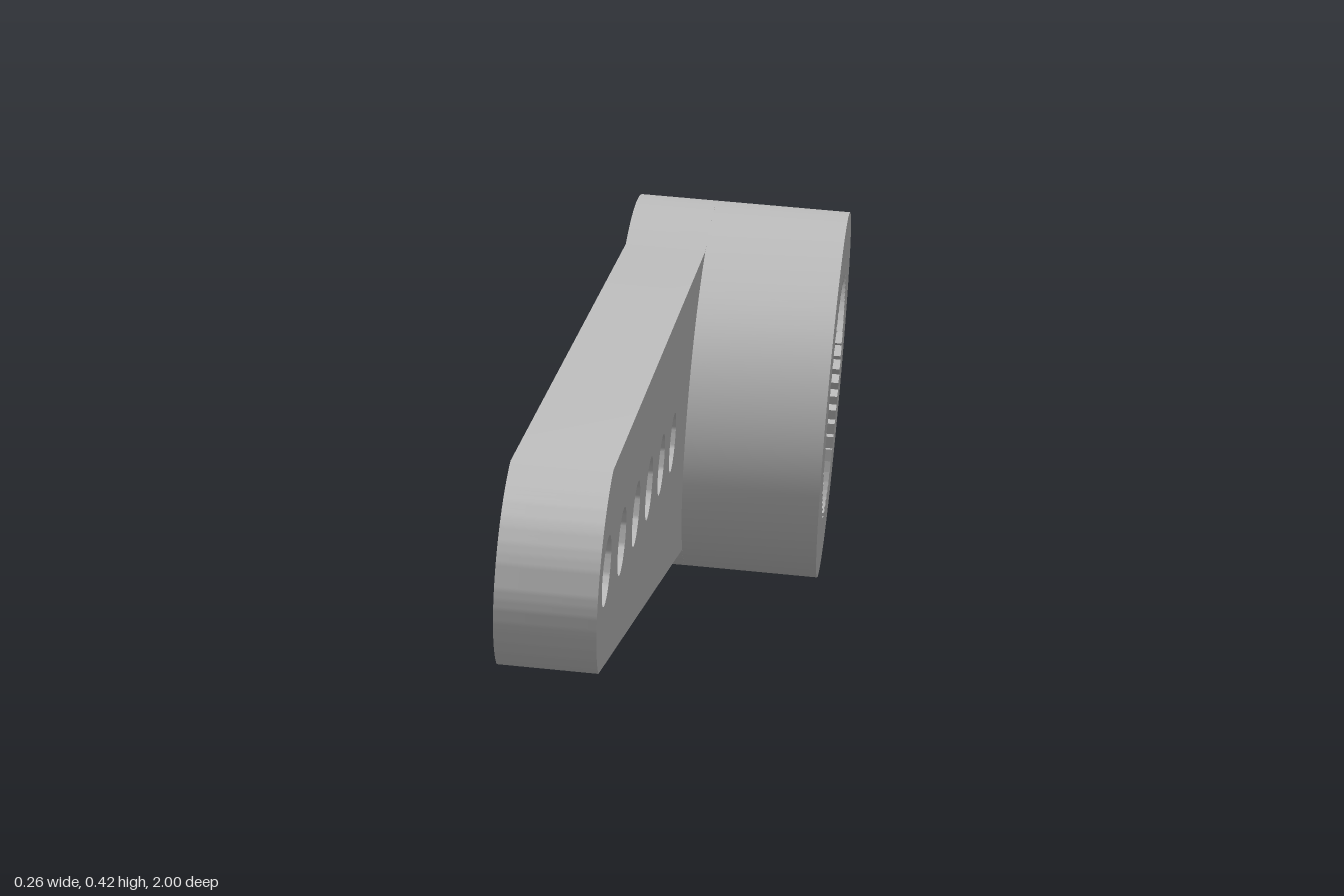
import * as THREE from 'three';
import { toCreasedNormals } from 'three/addons/utils/BufferGeometryUtils.js';

const HUB_R = 0.2025, BACK = -0.1155, FRONT = 0.1155, ARM_FRONT = -0.03;

function circlePath(x, r) {
  return new THREE.Path().absarc(x, 0, r, 0, Math.PI * 2, true);
}

// Extrude a side-on shape along the hub axis (x) between two stations
function extrudeX(shape, from, to) {
  const g = new THREE.ExtrudeGeometry(shape, { depth: to - from, bevelEnabled: false, curveSegments: 24 });
  g.translate(0, 0, from).rotateY(Math.PI / 2);
  return toCreasedNormals(g, 0.5);
}

// Double-ended arm outline: tapered arms, rounded tips and hub arcs
function armShape() {
  const a = 0.936, t = Math.PI / 3, PI = Math.PI;
  const s = new THREE.Shape();
  s.absarc(0.9, 0, 0.1, -t, t, false);
  s.absarc(0, 0, HUB_R, a, PI - a, false);
  s.absarc(-0.9, 0, 0.1, PI - t, PI + t, false);
  s.absarc(0, 0, HUB_R, PI + a, 2 * PI - a, false);
  s.closePath();
  s.holes.push(circlePath(0, 0.12));
  for (const side of [-1, 1]) {
    for (let i = 0; i < 6; i++) s.holes.push(circlePath(side * (0.362 + i * 0.1165), 0.03));
  }
  return s;
}

// Collar ring with a toothed bore
function collarShape() {
  const s = new THREE.Shape();
  s.absarc(0, 0, HUB_R, 0, Math.PI * 2, false);
  const teeth = 50, pts = [];
  for (let i = 0; i < teeth * 2; i++) {
    const r = i % 2 ? 0.126 : 0.139, a = -i * Math.PI / teeth;
    pts.push(new THREE.Vector2(r * Math.cos(a), r * Math.sin(a)));
  }
  s.holes.push(new THREE.Path(pts));
  return s;
}

export function createModel() {
  const model = new THREE.Group();
  const grey = new THREE.MeshStandardMaterial({ color: 0xc0c0c0 });
  grey.name = 'greyPlastic';
  const add = (name, geometry) => {
    const m = new THREE.Mesh(geometry, grey);
    m.name = name;
    model.add(m);
  };

  add('doubleArm', extrudeX(armShape(), BACK, ARM_FRONT));
  add('splinedCollar', extrudeX(collarShape(), ARM_FRONT, FRONT));

  // Stepped web in the bore, leaving a shallow recess at the back
  const profile = [[0.083, -0.085], [0.12, -0.085], [0.12, ARM_FRONT], [0.11, ARM_FRONT],
    [0.11, -0.05], [0.083, -0.05], [0.083, -0.085]].map(([r, u]) => new THREE.Vector2(r, u));
  const web = new THREE.LatheGeometry(profile, 48).rotateZ(-Math.PI / 2);
  add('boreWeb', toCreasedNormals(web, 0.5));

  // The whole part leans slightly
  model.rotation.z = -0.0787;
  model.position.y = 0.211;
  const root = new THREE.Group();
  root.name = 'servoHorn';
  model.name = 'leaningHorn';
  root.add(model);
  return root;
}
